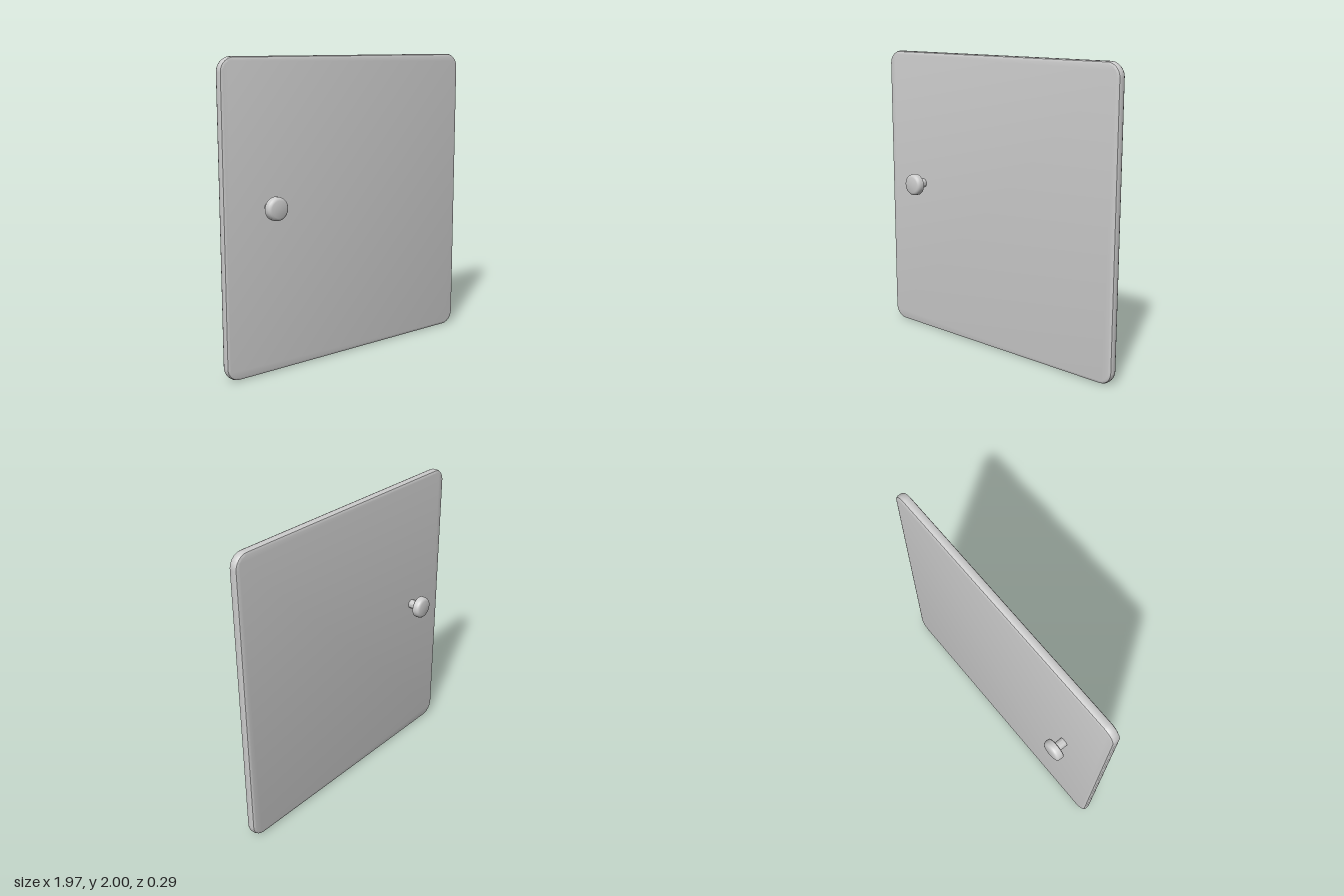
import * as THREE from 'three';
import { toCreasedNormals } from 'three/addons/utils/BufferGeometryUtils.js';

const material = new THREE.MeshStandardMaterial({ color: 0xcccccc });

function roundedRect(w, h, r) {
  const s = new THREE.Shape();
  const x = w / 2, y = h / 2;
  s.absarc(x - r, y - r, r, 0, Math.PI / 2);
  s.absarc(-x + r, y - r, r, Math.PI / 2, Math.PI);
  s.absarc(-x + r, -y + r, r, Math.PI, Math.PI * 1.5);
  s.absarc(x - r, -y + r, r, Math.PI * 1.5, Math.PI * 2);
  s.closePath();
  return s;
}

export function createModel() {
  const group = new THREE.Group();

  // Door panel: rounded slab with a soft bevel all round
  const bevel = 0.018, thickness = 0.06;
  const depth = thickness - 2 * bevel;
  const slab = new THREE.ExtrudeGeometry(
    roundedRect(1.974 - 2 * bevel, 2 - 2 * bevel, 0.075),
    { depth, bevelEnabled: true, bevelSize: bevel, bevelThickness: bevel, bevelSegments: 2, curveSegments: 8 }
  );
  slab.translate(0, 0, -depth / 2);
  const panel = new THREE.Mesh(toCreasedNormals(slab, 0.45), material);
  panel.name = 'doorPanel';
  panel.position.set(0, 1, -0.001);
  group.add(panel);

  // Knob: stem and rounded cap turned as one profile, one on each face
  const profile = [
    [0.031, 0], [0.031, 0.093], [0.07, 0.093], [0.075, 0.098],
    [0.075, 0.122], [0.072, 0.135], [0.065, 0.143], [0.054, 0.147], [0, 0.147],
  ].map(([r, z]) => new THREE.Vector2(r, z));
  const knobGeometry = toCreasedNormals(new THREE.LatheGeometry(profile, 32).rotateX(Math.PI / 2).toNonIndexed(), 0.6);
  for (const [name, turn] of [['frontKnob', 0], ['backKnob', Math.PI]]) {
    const knob = new THREE.Mesh(knobGeometry, material);
    knob.name = name;
    knob.position.set(-0.662, 1.077, -0.001);
    knob.rotation.y = turn;
    group.add(knob);
  }
  return group;
}
